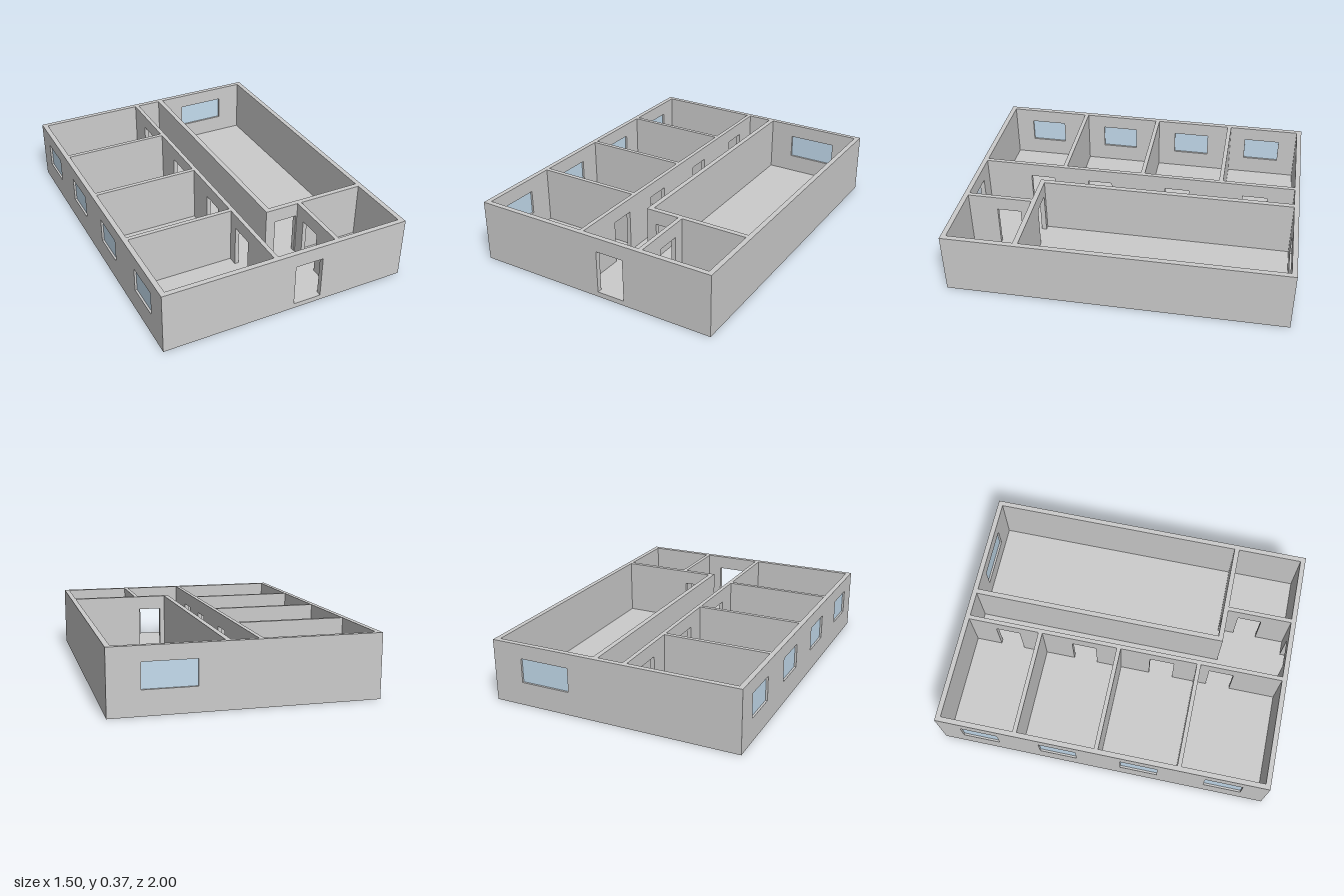
import * as THREE from 'three';

const W = 0.75, D = 1;          // half width and half depth of the house
const FLOOR = 0.03, TOP = 0.37; // floor surface and wall top
const HEAD = 0.285, SILL = 0.14; // top of openings, bottom of windows
const T = 0.03;                 // outer wall thickness

const grey = new THREE.MeshStandardMaterial({ color: 0xcccccc });
const glass = new THREE.MeshStandardMaterial({ color: 0xc4dcee });

export function createModel() {
  const house = new THREE.Group();
  house.name = 'house';

  const add = (name, geometry, material = grey) => {
    const mesh = new THREE.Mesh(geometry, material);
    mesh.name = name;
    house.add(mesh);
  };

  // A wall from a to b along 'x' or 'z', filling lo..hi on the other axis.
  // doors and windows are lists of [start, end] along the wall.
  function wall(name, axis, a, b, lo, hi, { doors = [], windows = [] } = {}) {
    const place = (geometry) => {
      if (axis === 'x') return geometry.translate(0, 0, lo);
      return geometry.rotateY(-Math.PI / 2).translate(hi, 0, 0);
    };
    const shape = new THREE.Shape().moveTo(a, FLOOR);
    for (const [s, e] of doors) {
      shape.lineTo(s, FLOOR).lineTo(s, HEAD).lineTo(e, HEAD).lineTo(e, FLOOR);
    }
    shape.lineTo(b, FLOOR).lineTo(b, TOP).lineTo(a, TOP).closePath();
    for (const [s, e] of windows) {
      shape.holes.push(new THREE.Path()
        .moveTo(s, SILL).lineTo(s, HEAD).lineTo(e, HEAD).lineTo(e, SILL).closePath());
      // pane set in the middle of the wall
      const pane = new THREE.BoxGeometry(e - s, HEAD - SILL, 0.006);
      pane.translate((s + e) / 2, (SILL + HEAD) / 2, (hi - lo) / 2);
      add('windowPane', place(pane), glass);
    }
    add(name, place(new THREE.ExtrudeGeometry(shape, { depth: hi - lo, bevelEnabled: false })));
  }

  const span = (centre, width) => [centre - width / 2, centre + width / 2];

  // Floor slab
  add('floor', new THREE.BoxGeometry(2 * W, FLOOR, 2 * D).translate(0, FLOOR / 2, 0));

  // Outer walls
  wall('frontWall', 'x', -W, W, D - T, D, { doors: [[0.04, 0.21]] });
  wall('backWall', 'x', -W, W, -D, -D + T, { windows: [span(0.42, 0.3)] });
  wall('rightOuterWall', 'z', -D + T, D - T, -W, -W + T,
    { windows: [-0.745, -0.265, 0.23, 0.74].map((z) => span(z, 0.225)) });
  wall('leftOuterWall', 'z', -D + T, D - T, W - T, W);

  // Corridor wall with a door to each of the four small rooms
  wall('corridorWall', 'z', -D + T, D - T, -0.085, -0.06,
    { doors: [-0.735, -0.25, 0.24, 0.61].map((z) => span(z, 0.15)) });

  // Partitions between the four rooms
  for (const z of [-0.52, -0.03, 0.465]) {
    wall('roomPartition', 'x', -W + T, -0.085, z - 0.0125, z + 0.0125);
  }

  // Large room: long side and front wall
  wall('largeRoomSideWall', 'z', -D + T, 0.58, 0.09, 0.12);
  wall('largeRoomFrontWall', 'x', 0.12, W - T, 0.55, 0.58, { doors: [[0.15, 0.29]] });

  // Small room beside the entrance hall
  wall('hallWall', 'z', 0.58, D - T, 0.297, 0.322, { doors: [[0.65, 0.795]] });

  return house;
}
